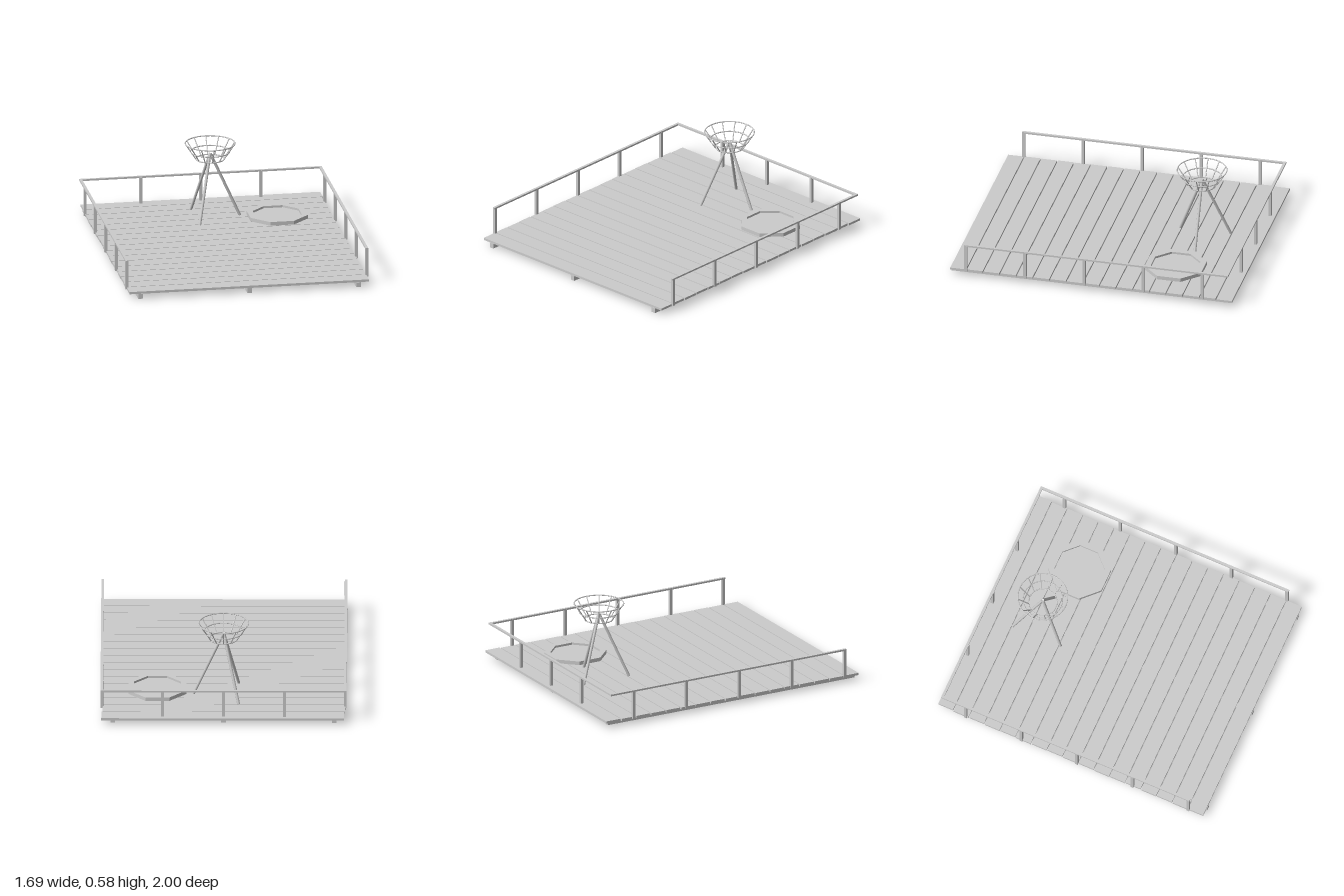
import * as THREE from 'three';

const mat = new THREE.MeshStandardMaterial({ color: 0xcccccc });
const flat = new THREE.MeshStandardMaterial({ color: 0xcccccc, flatShading: true });

function add(parent, name, geometry, x = 0, y = 0, z = 0, material = mat) {
  const mesh = new THREE.Mesh(geometry, material);
  mesh.name = name;
  mesh.position.set(x, y, z);
  parent.add(mesh);
  return mesh;
}

function box(parent, name, w, h, d, x, y, z) {
  return add(parent, name, new THREE.BoxGeometry(w, h, d), x, y, z);
}

// Round bar between two points
function bar(parent, name, a, b, radius, sides) {
  const dir = b.clone().sub(a);
  const mesh = add(parent, name, new THREE.CylinderGeometry(radius, radius, dir.length(), sides), 0, 0, 0, sides < 8 ? flat : mat);
  mesh.position.copy(a).add(b).multiplyScalar(0.5);
  mesh.quaternion.setFromUnitVectors(new THREE.Vector3(0, 1, 0), dir.normalize());
  return mesh;
}

function group(parent, name, x = 0, y = 0, z = 0) {
  const g = new THREE.Group();
  g.name = name;
  g.position.set(x, y, z);
  parent.add(g);
  return g;
}

function octagon(path, apothem) {
  const r = apothem / Math.cos(Math.PI / 8);
  const points = [];
  for (let i = 0; i < 8; i++) {
    const a = (i + 0.5) * Math.PI / 4;
    points.push(new THREE.Vector2(r * Math.cos(a), r * Math.sin(a)));
  }
  return path.setFromPoints(points);
}

export function createModel() {
  const model = new THREE.Group();
  model.name = 'deck';

  // Deck planks, laid across with narrow gaps
  const planks = group(model, 'planks');
  const count = 17, pitch = 2 / count;
  for (let i = 0; i < count; i++) {
    const shift = i === 0 ? 0.005 : ((i * 7) % 5 - 2) * 0.001 - 0.002;
    box(planks, 'plank', 1.668, 0.016, pitch - 0.007, shift, 0.043, -1 + pitch * (i + 0.5));
  }

  // Joists under the planks
  for (const x of [-0.76, 0, 0.76]) box(model, 'joist', 0.032, 0.035, 1.955, x, 0.0175, 0.0225);

  // Railing on both sides and along the back
  const railing = group(model, 'railing');
  for (const s of [-1, 1]) {
    for (let i = 0; i < 5; i++) box(railing, 'sidePost', 0.02, 0.2, 0.02, s * 0.836, 0.14, 0.885 - i * 0.418);
    box(railing, 'sideRail', 0.018, 0.012, 1.866, s * 0.836, 0.24, -0.036);
  }
  for (const x of [-0.418, 0, 0.418]) box(railing, 'backPost', 0.02, 0.2, 0.02, x, 0.14, -0.958);
  box(railing, 'backRail', 1.69, 0.012, 0.018, 0, 0.24, -0.96);

  // Fire basket on a tripod
  const brazier = group(model, 'fireBasket', 0, 0, -0.58);
  for (let i = 0; i < 3; i++) {
    const a = i * Math.PI * 2 / 3;
    bar(brazier, 'tripodLeg',
      new THREE.Vector3(0.207 * Math.cos(a), 0.051, 0.207 * Math.sin(a)),
      new THREE.Vector3(0.002 * Math.cos(a), 0.505, 0.002 * Math.sin(a)), 0.01, 8);
  }
  const rings = [[0.098, 0.468], [0.135, 0.521], [0.171, 0.579]];
  for (const [r, y] of rings) {
    const ring = add(brazier, 'basketRing', new THREE.TorusGeometry(r, 0.004, 6, 36), 0, y, 0);
    ring.rotation.x = Math.PI / 2;
  }
  for (let i = 0; i < 12; i++) {
    const a = i * Math.PI / 6, c = Math.cos(a), s = Math.sin(a);
    bar(brazier, 'basketRib',
      new THREE.Vector3(0.098 * c, 0.468, 0.098 * s),
      new THREE.Vector3(0.171 * c, 0.579, 0.171 * s), 0.004, 6);
  }

  // Octagonal tub: raised rim with a recessed floor
  const tub = group(model, 'octagonalTub', 0.455, 0.05, -0.505);
  const rim = octagon(new THREE.Shape(), 0.2);
  rim.holes.push(octagon(new THREE.Path(), 0.16));
  const rimMesh = add(tub, 'tubRim', new THREE.ExtrudeGeometry(rim, { depth: 0.027, bevelEnabled: false }));
  rimMesh.rotation.x = -Math.PI / 2;
  const floor = octagon(new THREE.Shape(), 0.161);
  const floorMesh = add(tub, 'tubFloor', new THREE.ExtrudeGeometry(floor, { depth: 0.012, bevelEnabled: false }));
  floorMesh.rotation.x = -Math.PI / 2;

  return model;
}
